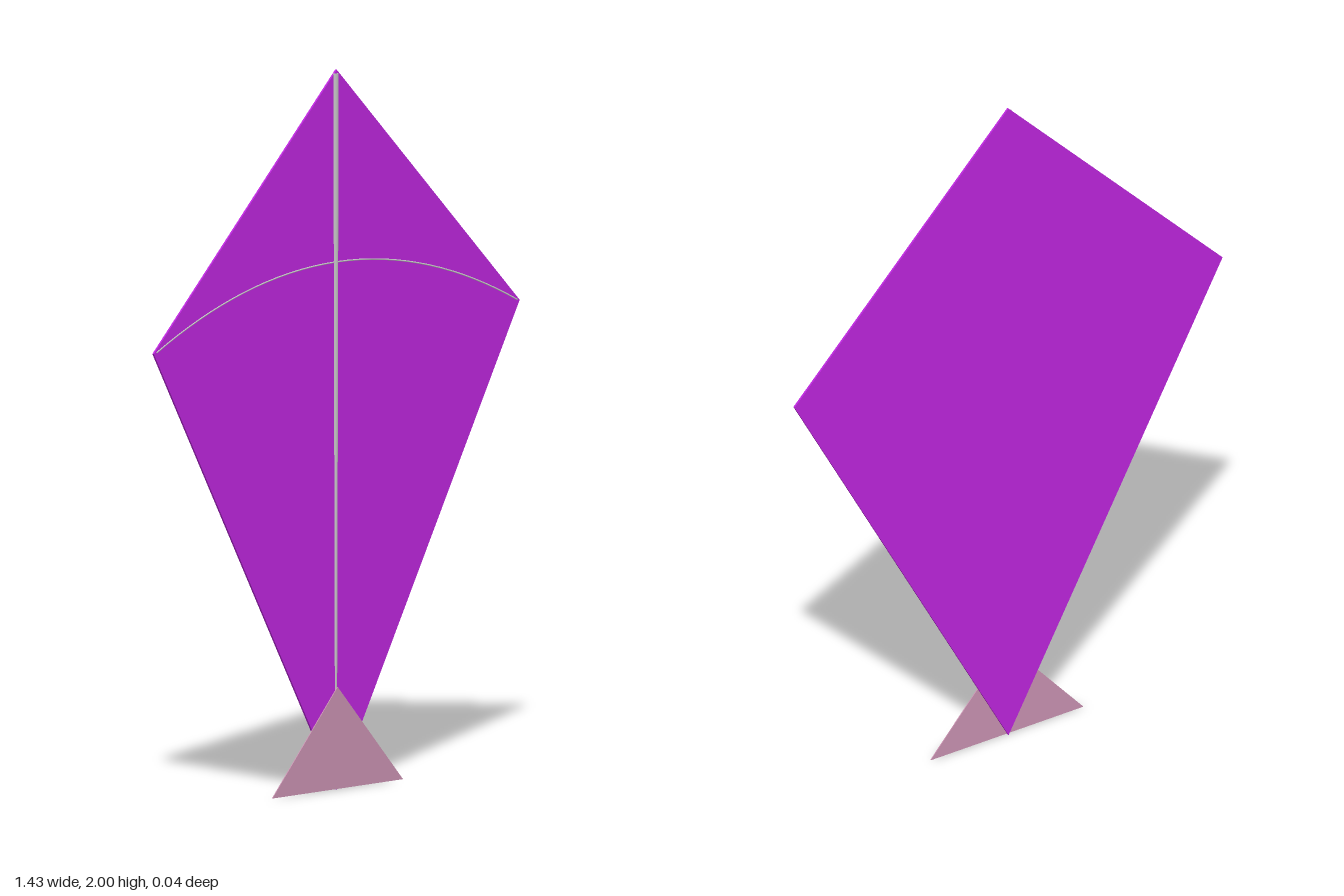
import * as THREE from 'three';

const mat = (color) => new THREE.MeshStandardMaterial({ color, side: THREE.DoubleSide });

// Thin flat panel cut from an outline, its back face at z
function panel(name, points, z, depth, material) {
  const shape = new THREE.Shape(points.map(([x, y]) => new THREE.Vector2(x, y)));
  const geo = new THREE.ExtrudeGeometry(shape, { depth, bevelEnabled: false });
  const mesh = new THREE.Mesh(geo.translate(0, 0, z), material);
  mesh.name = name;
  return mesh;
}

export function createModel() {
  const kite = new THREE.Group();
  kite.name = 'kite';
  const grey = mat(0xcccccc);

  // Diamond sail
  kite.add(panel('sail', [[0, 0], [0.715, 1.285], [0, 2], [-0.715, 1.285]], -0.004, 0.006, mat(0xbf26e0)));

  // Triangular tail in front of the lower tip
  kite.add(panel('tail', [[-0.255, 0.002], [0.255, 0.002], [0, 0.285]], 0.003, 0.003, mat(0xcc94b4)));

  // Upright spine, tapering downwards and half sunk into the sail
  const spineGeo = new THREE.CylinderGeometry(0.011, 0.005, 1.8, 8);
  spineGeo.scale(1, 1, 0.35).translate(-0.003, 1.09, 0.0015);
  const spine = new THREE.Mesh(spineGeo, grey);
  spine.name = 'spine';
  kite.add(spine);

  // Bowed cross spar from corner to corner
  const bow = new THREE.QuadraticBezierCurve3(
    new THREE.Vector3(-0.705, 1.287, 0.001),
    new THREE.Vector3(0, 1.645, 0.001),
    new THREE.Vector3(0.705, 1.287, 0.001)
  );
  const spar = new THREE.Mesh(new THREE.TubeGeometry(bow, 32, 0.0025, 6), grey);
  spar.name = 'crossSpar';
  kite.add(spar);

  // Slight turn of the whole kite
  kite.rotation.y = -0.023;
  const model = new THREE.Group();
  model.add(kite);
  return model;
}
